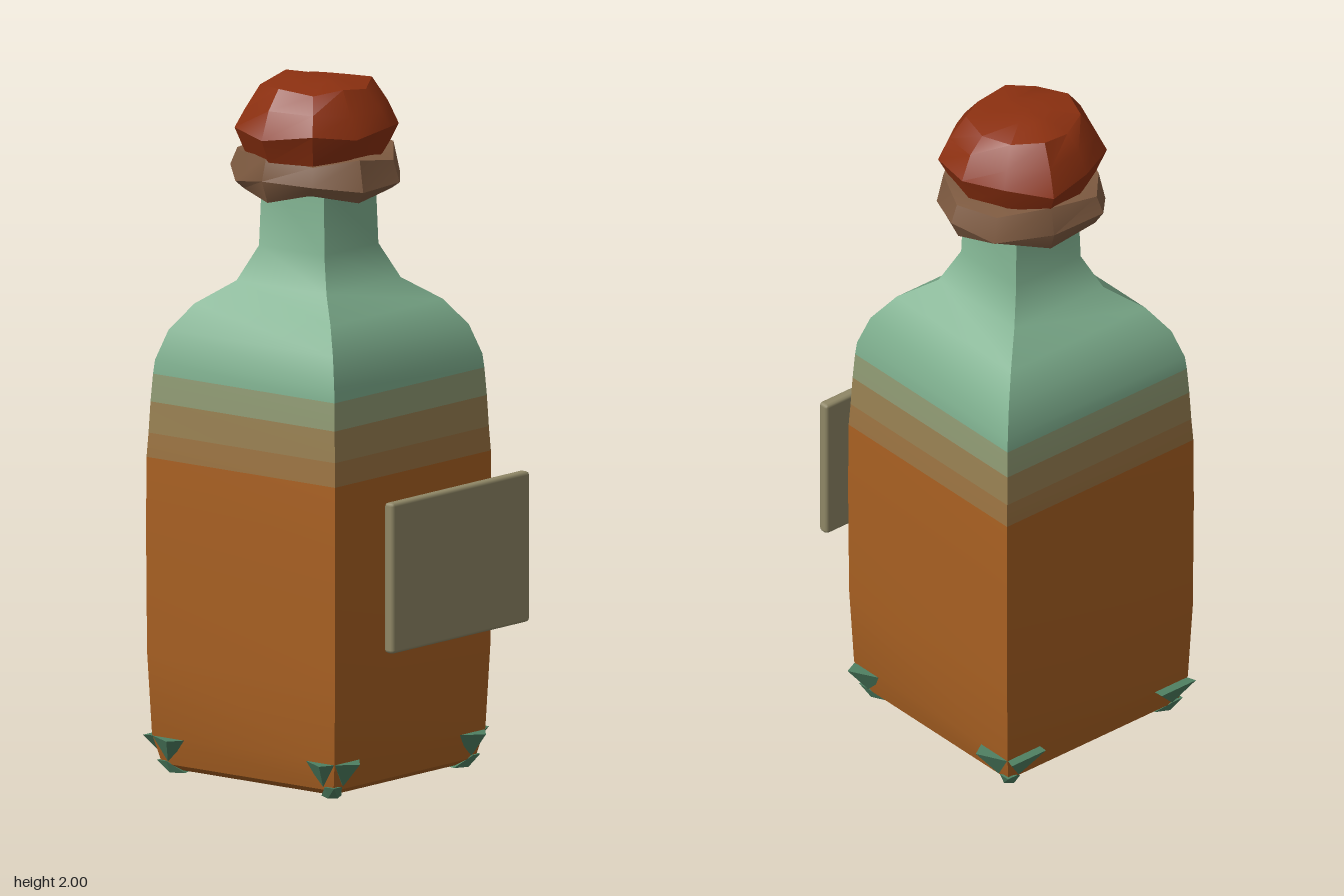
import * as THREE from 'three';
import { toCreasedNormals } from 'three/addons/utils/BufferGeometryUtils.js';
import { RoundedBoxGeometry } from 'three/addons/geometries/RoundedBoxGeometry.js';
import { ConvexGeometry } from 'three/addons/geometries/ConvexGeometry.js';

const CENTER_Z = -0.083;

function material(name, color) {
  const m = new THREE.MeshStandardMaterial({ color });
  m.name = name;
  return m;
}

function mesh(name, geometry, mat) {
  const m = new THREE.Mesh(geometry, mat);
  m.name = name;
  return m;
}

// Closed loft: an outline [x, z] repeated at levels [scale, y, wobble]
function loft(outline, cx, cz, levels, crease) {
  const n = outline.length, pos = [], index = [];
  levels.forEach(([s, y, wobble], k) => outline.forEach(([x, z], i) => {
    pos.push(cx + (x - cx) * s, y + wobble * Math.sin(i * 2.3 + k * 1.7), cz + (z - cz) * s);
  }));
  const last = levels.length - 1, bottom = n * levels.length, top = bottom + 1;
  pos.push(cx, levels[0][1], cz, cx, levels[last][1], cz);
  for (let i = 0; i < n; i++) {
    const j = (i + 1) % n;
    for (let k = 0; k < last; k++) {
      const a = k * n + i, b = k * n + j;
      index.push(a, b, b + n, a, b + n, a + n);
    }
    index.push(bottom, j, i, top, last * n + i, last * n + j);
  }
  const g = new THREE.BufferGeometry();
  g.setAttribute('position', new THREE.Float32BufferAttribute(pos, 3));
  g.setIndex(index);
  return toCreasedNormals(g, crease);
}

export function createModel() {
  const model = new THREE.Group();
  model.name = 'bottle';

  const liquid = material('amber', 0xa86022);
  const lowBand = material('amberFade', 0x9c7442);
  const midBand = material('middleFade', 0x988052);
  const highBand = material('greenFade', 0x8f9a73);
  const glass = material('greenGlass', 0x7fb08f);
  const footMat = material('darkGreen', 0x4f8062);
  const labelMat = material('label', 0x8f8766);
  const ringMat = material('brownCollar', 0x7f5b41);
  const capMat = material('redWax', 0x8c3010);

  // Square bottle: four-sided lathe, [half width, height, colour of the span above]
  const profile = [
    [0, 0.006, 0], [0.285, 0.006, 0], [0.315, 0.025, 0], [0.335, 0.11, 0], [0.345, 0.35, 0],
    [0.347, 0.7, 0], [0.346, 0.91, 1], [0.342, 0.98, 2], [0.338, 1.07, 3], [0.333, 1.15, 4],
    [0.329, 1.19, 4], [0.302, 1.275, 4], [0.25, 1.35, 4], [0.165, 1.415, 4], [0.12, 1.515, 4],
    [0.114, 1.72, 4], [0, 1.72, 4],
  ];
  const lathe = new THREE.LatheGeometry(
    profile.map(([w, y]) => new THREE.Vector2(w * Math.SQRT2, y)), 4, Math.PI / 4);
  lathe.deleteAttribute('normal');
  lathe.deleteAttribute('uv');
  const bodyGeo = toCreasedNormals(lathe, 0.75);
  bodyGeo.clearGroups();
  const spans = profile.length - 1;
  for (let s = 0; s < 4; s++) {
    for (let k = 0; k < spans; k++) bodyGeo.addGroup((s * spans + k) * 6, 6, profile[k][2]);
  }
  const body = mesh('bottleBody', bodyGeo, [liquid, lowBand, midBand, highBand, glass]);
  body.position.z = CENTER_Z;
  model.add(body);

  // Corner feet: two wedge wings and a small nub on each corner
  const hull = (pts) => {
    const g = new ConvexGeometry(pts.map((p) => new THREE.Vector3(...p)));
    g.computeVertexNormals();
    return g;
  };
  for (const sx of [1, -1]) {
    for (const sz of [1, -1]) {
      const foot = new THREE.Group();
      foot.name = (sz > 0 ? 'front' : 'back') + (sx > 0 ? 'Left' : 'Right') + 'Foot';
      const at = (x, y, z) => [sx * x, y, sz * z];
      const sideTip = sz > 0 ? 0.313 : 0.247;
      const endTips = sz > 0 ? [at(0.28, 0.105, 0.383)] : [at(0.215, 0.105, 0.362), at(0.342, 0.105, 0.362)];
      foot.add(mesh('sideWing', hull([
        at(0.325, 0.105, 0.213), at(0.378, 0.105, sideTip), at(0.335, 0.105, 0.333),
        at(0.325, 0.035, 0.285), at(0.3, 0.06, 0.28)]), footMat));
      foot.add(mesh('endWing', hull([
        at(0.213, 0.105, 0.325), ...endTips, at(0.333, 0.105, 0.335),
        at(0.285, 0.035, 0.325), at(0.28, 0.06, 0.3)]), footMat));
      foot.add(mesh('nub', hull([
        at(0.25, 0, 0.29), at(0.29, 0, 0.25), at(0.31, 0, 0.29), at(0.29, 0, 0.31), at(0.26, 0, 0.26),
        at(0.325, 0.035, 0.29), at(0.29, 0.035, 0.325), at(0.325, 0.035, 0.325)]), footMat));
      foot.position.z = CENTER_Z;
      model.add(foot);
    }
  }

  // Label plate floating ahead of the front face
  const label = mesh('labelPlate', new RoundedBoxGeometry(0.61, 0.435, 0.034, 1, 0.01), labelMat);
  label.position.set(0, 0.6625, 0.425);
  model.add(label);

  // Uneven collar around the neck
  const collar = [
    [0.06, 0.165], [0.2, 0.05], [0.265, -0.09], [0.215, -0.22], [0.07, -0.31],
    [-0.1, -0.325], [-0.18, -0.24], [-0.232, -0.1], [-0.19, 0.05], [-0.09, 0.155],
  ];
  model.add(mesh('collar', loft(collar, 0, CENTER_Z,
    [[0.62, 1.685, 0.01], [0.9, 1.68, 0.018], [1, 1.72, 0.015], [0.92, 1.79, 0.012], [0.7, 1.795, 0]], 0.6), ringMat));

  // Faceted wax cap
  const cap = [
    [0.06, 0.13], [0.195, 0.05], [0.225, -0.09], [0.175, -0.215], [0.075, -0.315],
    [-0.06, -0.3], [-0.19, -0.235], [-0.245, -0.09], [-0.2, 0.06], [-0.09, 0.13],
  ];
  model.add(mesh('waxCap', loft(cap, -0.01, -0.09,
    [[0.87, 1.785, 0.008], [1, 1.86, 0.012], [0.87, 1.925, 0.01], [0.68, 1.983, 0.008], [0.3, 2, 0]], 0.6), capMat));

  return model;
}
